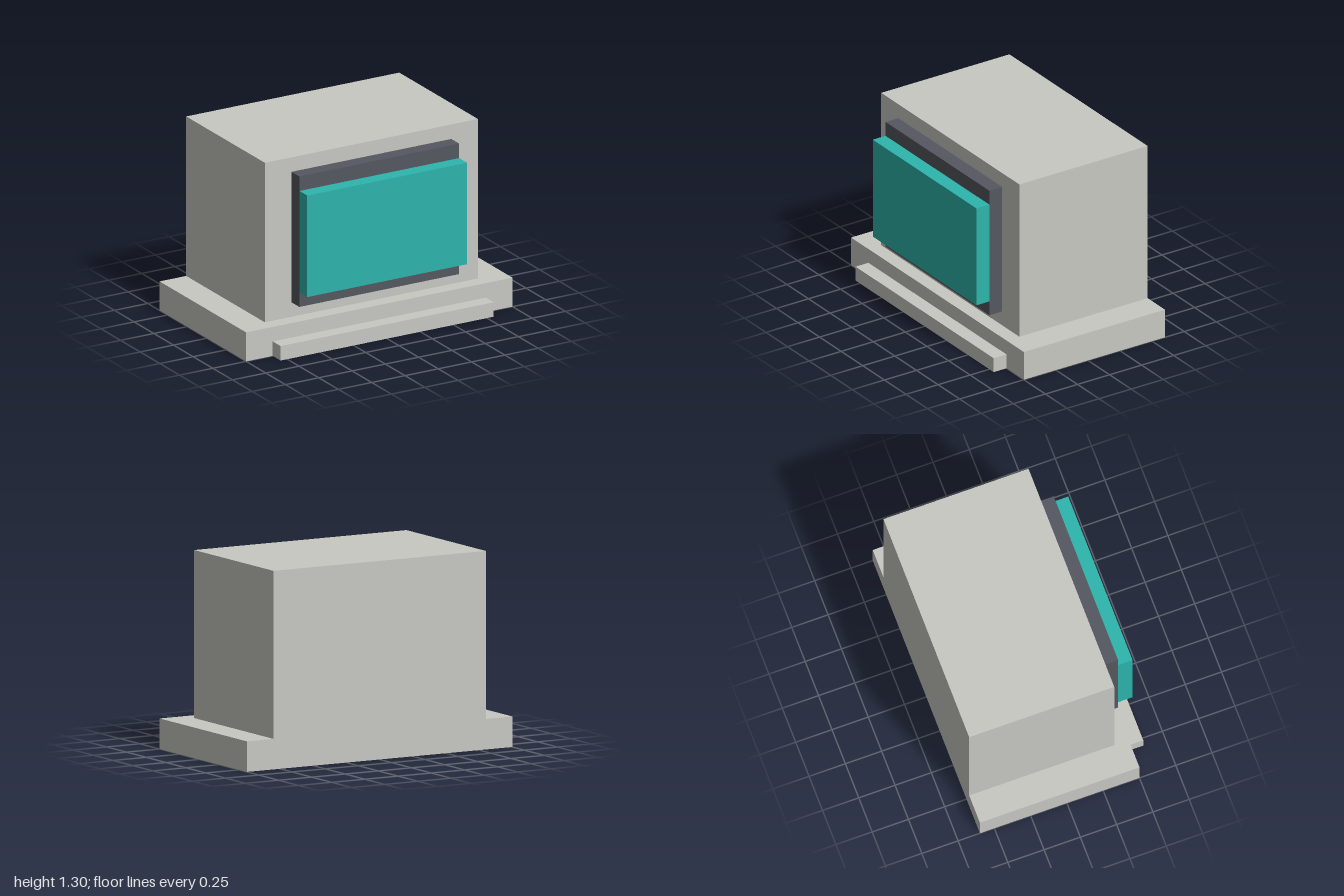
import * as THREE from 'three';

// Box from min/max corners; faces listed in `open` are left out.
const FACES = ['right', 'left', 'top', 'bottom', 'front', 'back'];

function box(name, material, [x0, x1], [y0, y1], [z0, z1], open = []) {
  const geometry = new THREE.BoxGeometry(x1 - x0, y1 - y0, z1 - z0);
  const index = Array.from(geometry.index.array);
  geometry.setIndex(index.filter((_, i) => !open.includes(FACES[Math.floor(i / 6)])));
  geometry.clearGroups();
  geometry.translate((x0 + x1) / 2, (y0 + y1) / 2, (z0 + z1) / 2);
  const mesh = new THREE.Mesh(geometry, material);
  mesh.name = name;
  return mesh;
}

function flat(name, color) {
  const material = new THREE.MeshStandardMaterial({ color, side: THREE.DoubleSide });
  material.name = name;
  return material;
}

export function createModel() {
  const casing = flat('casing grey', 0xc8c8c3);
  const bezel = flat('bezel charcoal', 0x555860);
  const glass = flat('screen teal', 0x2db5ac);

  const model = new THREE.Group();
  model.name = 'computer';
  model.add(
    // Hollow base, open underneath
    box('base', casing, [-1, 1], [0, 0.2], [-0.6, 0.5], ['bottom']),
    // Monitor housing resting on the base
    box('housing', casing, [-0.8, 0.8], [0.2, 1.3], [-0.6, 0.4], ['bottom']),
    // Front ledge, a hollow strip pushed through the front of the base
    box('frontLedge', casing, [-0.8, 0.8], [0, 0.1], [0.4, 0.6], ['bottom', 'back']),
    // Stepped display
    box('screenFrame', bezel, [-0.6, 0.6], [0.3, 1.2], [0.4, 0.5], ['back']),
    box('screen', glass, [-0.6, 0.6], [0.4, 1.1], [0.5, 0.6], ['back']),
  );
  return model;
}
